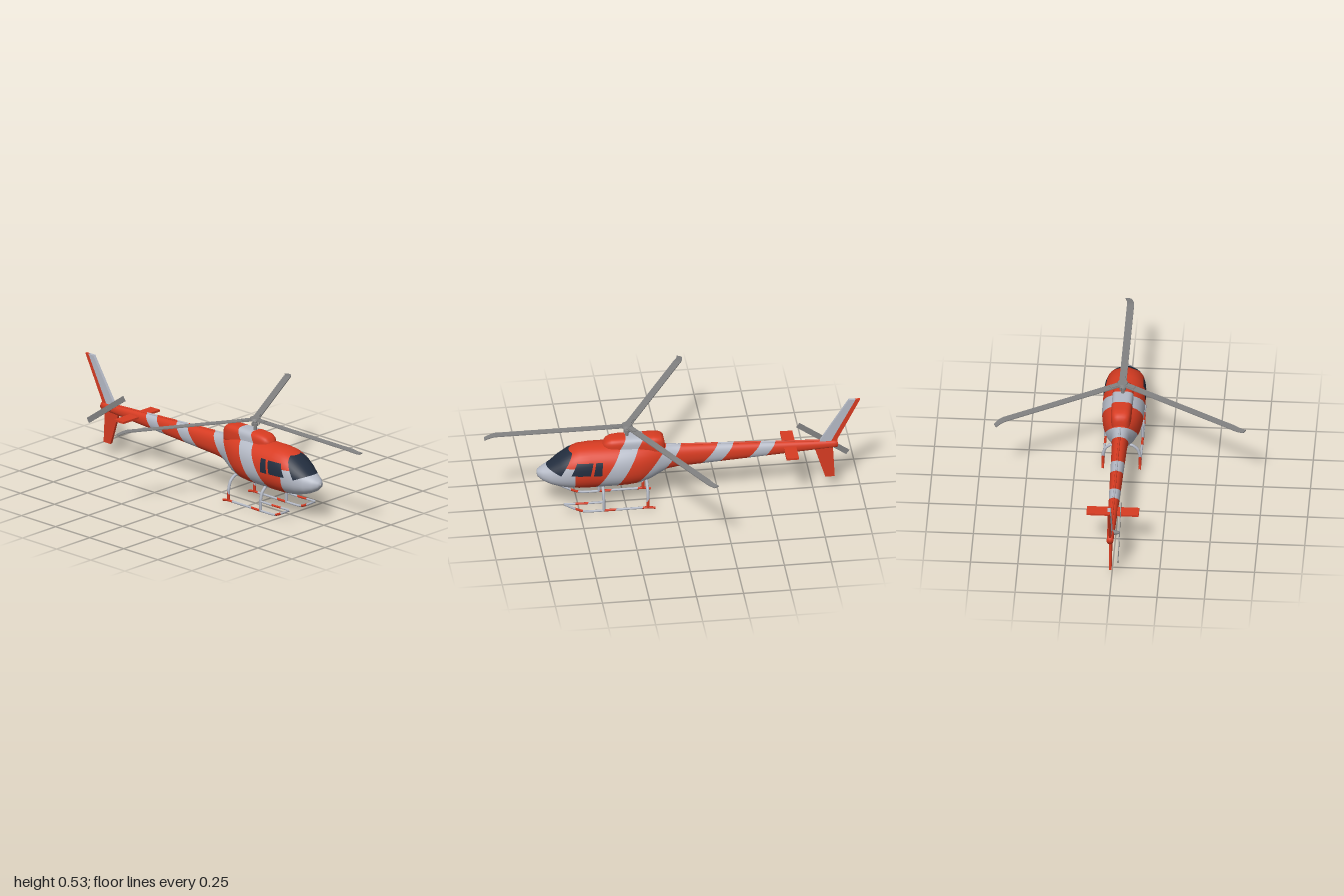
import * as THREE from 'three';

const mat = (name, color, side = THREE.FrontSide) => {
  const m = new THREE.MeshStandardMaterial({ color, side });
  m.name = name;
  return m;
};
const red = mat('red paint', 0xd83c22);
const silver = mat('silver paint', 0xb5bac6);
const glass = mat('dark glass', 0x222d3e);
const metal = mat('grey metal', 0x828282);

// Paint regions as convex side outlines, points [z, y]; earlier ones win
const regions = [
  [glass, [[0.6, 0.235], [0.535, 0.345], [0.8, 0.345], [0.8, 0.315]]],
  [glass, [[0.548, 0.24], [0.446, 0.238], [0.43, 0.31], [0.515, 0.31]]],
  [glass, [[0.43, 0.236], [0.385, 0.235], [0.38, 0.31], [0.415, 0.31]]],
  [silver, [[0.525, 0], [0.525, 0.28], [0.8, 0.28], [0.8, 0]]],
  [silver, [[0.5, 0], [0.38, 0], [0.15, 0.42], [0.243, 0.42]]],
  [silver, [[0.325, 0], [0.18, 0], [-0.06, 0.35], [0.02, 0.35]]],
  [silver, [[-0.115, 0.17], [-0.215, 0.17], [-0.35, 0.35], [-0.265, 0.35]]],
  [silver, [[-0.35, 0.17], [-0.45, 0.17], [-0.58, 0.35], [-0.505, 0.35]]],
];

// Cut a polygon (corners [x,y,z,nx,ny,nz]) along a line in the side plane
function split(poly, side) {
  const inside = [], outside = [];
  poly.forEach((a, i) => {
    const b = poly[(i + 1) % poly.length], da = side(a), db = side(b);
    if (da >= 0) inside.push(a);
    if (da <= 0) outside.push(a);
    if (da * db < 0) {
      const p = a.map((v, k) => v + (b[k] - v) * da / (da - db));
      inside.push(p);
      outside.push(p);
    }
  });
  return [inside, outside].map(p => (p.length > 2 ? p : null));
}

// Split a surface along the paint regions, one geometry group per colour
function painted(name, geometry, base) {
  const g = geometry.index ? geometry.toNonIndexed() : geometry;
  const P = g.attributes.position, N = g.attributes.normal;
  let rest = [];
  for (let i = 0; i < P.count; i += 3) {
    rest.push([0, 1, 2].map(k => [P.getX(i + k), P.getY(i + k), P.getZ(i + k),
      N.getX(i + k), N.getY(i + k), N.getZ(i + k)]));
  }
  const bins = new Map([[base, []]]);
  for (const [material, pts] of regions) {
    const sign = Math.sign(THREE.ShapeUtils.area(pts.map(p => new THREE.Vector2(...p))));
    const next = [];
    if (!bins.has(material)) bins.set(material, []);
    for (let poly of rest) {
      for (let i = 0; i < pts.length && poly; i++) {
        const [az, ay] = pts[i], [bz, by] = pts[(i + 1) % pts.length];
        const [inn, out] = split(poly, v => sign * ((bz - az) * (v[1] - ay) - (by - ay) * (v[2] - az)));
        if (out) next.push(out);
        poly = inn;
      }
      if (poly) bins.get(material).push(poly);
    }
    rest = next;
  }
  bins.get(base).push(...rest);
  const pos = [], nor = [], out = new THREE.BufferGeometry(), mats = [];
  for (const [material, polys] of bins) {
    const start = pos.length / 3;
    for (const p of polys) {
      for (let i = 1; i < p.length - 1; i++) {
        for (const v of [p[0], p[i], p[i + 1]]) {
          pos.push(v[0], v[1], v[2]);
          nor.push(v[3], v[4], v[5]);
        }
      }
    }
    if (pos.length / 3 === start) continue;
    out.addGroup(start, pos.length / 3 - start, mats.length);
    mats.push(material);
  }
  out.setAttribute('position', new THREE.Float32BufferAttribute(pos, 3));
  out.setAttribute('normal', new THREE.Float32BufferAttribute(nor, 3));
  const mesh = new THREE.Mesh(out, mats);
  mesh.name = name;
  return mesh;
}

// Skin over rounded sections [z, bottom, top, halfWidth], running front to back
function loft(sections, power, n = 36) {
  const pos = [], idx = [];
  const soft = v => Math.sign(v) * Math.abs(v) ** (2 / power);
  sections.forEach(([z, lo, hi, w], i) => {
    for (let j = 0; j < n; j++) {
      const t = j / n * Math.PI * 2, k = (j + 1) % n;
      pos.push(w * soft(Math.cos(t)), (lo + hi) / 2 + (hi - lo) / 2 * soft(Math.sin(t)), z);
      if (i < sections.length - 1) {
        const a = i * n + j, b = i * n + k;
        idx.push(a, a + n, b, b, a + n, b + n);
      }
    }
  });
  const g = new THREE.BufferGeometry();
  g.setAttribute('position', new THREE.Float32BufferAttribute(pos, 3));
  g.setIndex(idx);
  g.computeVertexNormals();
  return g;
}

// Upright plate from a side outline of [z, y] points
function plate(points, thick) {
  const shape = new THREE.Shape(points.map(p => new THREE.Vector2(...p)));
  return new THREE.ExtrudeGeometry(shape, { depth: thick, bevelEnabled: false })
    .translate(0, 0, -thick / 2).rotateY(-Math.PI / 2);
}

// Round tube through points, with straight runs and tight bends
function tube(points, r, segments = 48) {
  const curve = new THREE.CatmullRomCurve3(points.map(p => new THREE.Vector3(...p)), false, 'catmullrom', 0.3);
  return new THREE.TubeGeometry(curve, segments, r, 8);
}

export function createModel() {
  const model = new THREE.Group();
  model.name = 'helicopter';
  model.position.x = 0.006;
  const body = new THREE.Group();
  model.add(body);
  body.name = 'airframe';
  const add = (name, geometry, material, parent = body) => {
    const m = new THREE.Mesh(geometry, material);
    m.name = name;
    parent.add(m);
    return m;
  };

  // Cabin and tail boom
  body.add(painted('fuselage', loft([
    [0.721, 0.216, 0.22, 0.002], [0.715, 0.197, 0.237, 0.022], [0.69, 0.175, 0.252, 0.043],
    [0.65, 0.155, 0.272, 0.065], [0.6, 0.139, 0.312, 0.087], [0.55, 0.13, 0.345, 0.101],
    [0.5, 0.125, 0.364, 0.109], [0.44, 0.124, 0.37, 0.112], [0.3, 0.124, 0.37, 0.112],
    [0.24, 0.125, 0.37, 0.108], [0.18, 0.13, 0.367, 0.1], [0.12, 0.147, 0.36, 0.083],
    [0.07, 0.172, 0.349, 0.062], [0.03, 0.193, 0.337, 0.047], [-0.03, 0.202, 0.331, 0.041],
    [-0.45, 0.225, 0.31, 0.03], [-0.86, 0.249, 0.29, 0.018], [-0.88, 0.25, 0.289, 0.017],
    [-0.881, 0.269, 0.27, 0.001]], 2.2), red));

  // Engine housing on the roof
  body.add(painted('engineHousing', loft([
    [0.372, 0.33, 0.36, 0.004], [0.366, 0.32, 0.378, 0.026], [0.35, 0.31, 0.396, 0.044],
    [0.325, 0.3, 0.407, 0.052], [0.28, 0.3, 0.41, 0.056], [0.1, 0.3, 0.41, 0.054],
    [0.065, 0.3, 0.406, 0.05], [0.047, 0.3, 0.393, 0.041], [0.041, 0.3, 0.365, 0.026],
    [0.04, 0.325, 0.33, 0.002]], 3.4), red));

  // Drive shaft cover along the boom
  body.add(painted('driveShaftCover', tube([[0, 0.334, 0.05], [0, 0.313, -0.4], [0, 0.292, -0.8]], 0.006), red));

  // Tail surfaces
  add('upperFin', plate([[-0.77, 0.27], [-0.835, 0.27], [-0.975, 0.535], [-0.94, 0.535]], 0.016), silver);
  add('finTrailingEdge', plate([[-0.835, 0.27], [-0.865, 0.27], [-1, 0.535], [-0.975, 0.535]], 0.012), red);
  add('lowerFin', plate([[-0.755, 0.26], [-0.855, 0.26], [-0.865, 0.07], [-0.815, 0.07]], 0.014), red);
  add('stabilizer', new THREE.BoxGeometry(0.276, 0.011, 0.066), red).position.set(0, 0.275, -0.625);

  // Landing gear, mirrored rails with steps
  for (const s of [-1, 1]) {
    body.add(painted('skidRail', tube([[s * 0.098, 0.07, 0.588], [s * 0.098, 0.045, 0.545], [s * 0.098, 0.02, 0.49],
      [s * 0.098, 0.014, 0.44], [s * 0.098, 0.014, 0.15], [s * 0.098, 0.008, 0.1]], 0.0065), red));
    body.add(painted('stepRail', tube([[s * 0.098, 0.069, 0.588], [s * 0.098, 0.066, 0.48],
      [s * 0.098, 0.066, 0.375]], 0.006), red));
  }
  for (const z of [0.375, 0.14]) {
    const half = [[0.098, 0.014], [0.097, 0.075], [0.085, 0.115], [0.06, 0.138], [0.03, 0.146]];
    const pts = [...half.map(([x, y]) => [-x, y, z]), ...half.reverse().map(([x, y]) => [x, y, z])];
    body.add(painted('crossTube', tube(pts, 0.008, 80), red));
  }

  // Main rotor: mast, swashplate, hub and three swept-tip blades
  const rotor = new THREE.Group();
  rotor.name = 'mainRotor';
  rotor.position.set(0, 0.467, 0.24);
  model.add(rotor);
  add('mast', new THREE.CylinderGeometry(0.008, 0.01, 0.08, 16), metal, rotor).position.y = -0.035;
  add('swashplate', new THREE.CylinderGeometry(0.018, 0.018, 0.014, 20), metal, rotor).position.y = -0.027;
  add('hub', new THREE.CylinderGeometry(0.026, 0.032, 0.014, 24), metal, rotor).position.y = 0.004;
  for (let i = 0; i < 3; i++) {
    const g = new THREE.BoxGeometry(0.038, 0.005, 0.75, 1, 1, 60).translate(0, 0, 0.385);
    const p = g.attributes.position;
    for (let k = 0; k < p.count; k++) {
      const t = Math.max(0, (p.getZ(k) - 0.7) / 0.06);
      p.setX(k, p.getX(k) * (1 - 0.25 * t) + 0.016 * t * t);
      p.setY(k, p.getY(k) - 0.01 * t);
    }
    g.computeVertexNormals();
    const arm = new THREE.Group();
    arm.name = 'bladeArm';
    arm.rotation.y = i * Math.PI * 2 / 3;
    rotor.add(arm);
    add('blade', g, metal, arm);
    add('bladeGrip', new THREE.BoxGeometry(0.026, 0.012, 0.06), metal, arm).position.z = 0.045;
    add('pitchLink', new THREE.CylinderGeometry(0.003, 0.003, 0.03, 8), metal, arm).position.set(0.016, -0.014, 0.016);
  }

  // Tail rotor on the right side
  const tail = new THREE.Group();
  tail.name = 'tailRotor';
  tail.position.set(-0.046, 0.275, -0.808);
  tail.rotation.x = -0.615;
  model.add(tail);
  add('tailBlades', new THREE.BoxGeometry(0.004, 0.03, 0.325), metal, tail);
  add('tailHub', new THREE.CylinderGeometry(0.017, 0.006, 0.045, 16).rotateZ(-Math.PI / 2), metal, tail).position.x = 0.02;
  return model;
}
